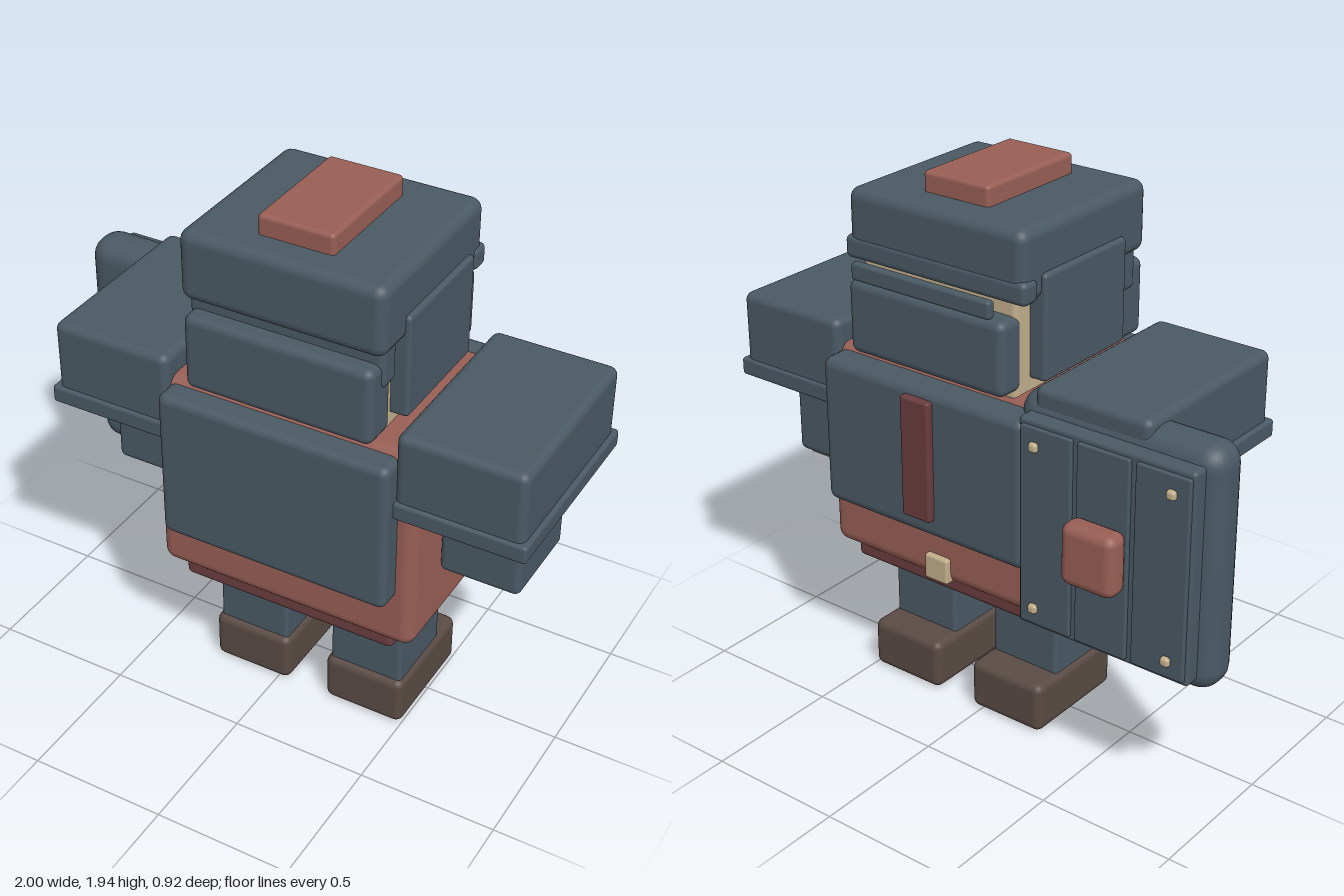
import * as THREE from 'three';
import { RoundedBoxGeometry } from 'three/addons/geometries/RoundedBoxGeometry.js';

const CX = 0.12; // the body's own middle line; the shield widens the -x side

function material(name, color) {
  const m = new THREE.MeshStandardMaterial({ color });
  m.name = name;
  return m;
}

export function createModel() {
  const slate = material('slate armour', 0x4a5964);
  const red = material('brick red', 0x985f55);
  const maroon = material('dark maroon', 0x6a3d3f);
  const brown = material('boot brown', 0x594a44);
  const cream = material('cream', 0xc2ae8c);

  const model = new THREE.Group();
  model.name = 'armouredFigure';

  const group = (name) => {
    const g = new THREE.Group();
    g.name = name;
    model.add(g);
    return g;
  };

  // Rounded block given by its extents on each axis
  const block = (parent, name, mat, [x0, x1], [y0, y1], [z0, z1], r = 0.02) => {
    const w = x1 - x0, h = y1 - y0, d = z1 - z0;
    const radius = Math.min(r, Math.min(w, h, d) * 0.49);
    const mesh = new THREE.Mesh(new RoundedBoxGeometry(w, h, d, 3, radius), mat);
    mesh.position.set((x0 + x1) / 2, (y0 + y1) / 2, (z0 + z1) / 2);
    mesh.name = name;
    parent.add(mesh);
    return mesh;
  };
  // Extents measured from the middle line, on the given side
  const side = (s, a, b) => (s > 0 ? [CX + a, CX + b] : [CX - b, CX - a]);
  const mid = (half) => [CX - half, CX + half];

  // Torso
  const torso = group('torso');
  block(torso, 'tunic', red, mid(0.488), [0.52, 1.3], [-0.28, 0.38], 0.045);
  block(torso, 'tunicHem', maroon, mid(0.405), [0.47, 0.54], [-0.25, 0.355], 0.02);
  block(torso, 'chestPlate', slate, mid(0.425), [0.72, 1.28], [0.34, 0.46], 0.03);
  block(torso, 'backPlate', slate, mid(0.43), [0.74, 1.28], [-0.372, -0.24], 0.035);
  block(torso, 'backStrip', maroon, mid(0.06), [0.81, 1.25], [-0.398, -0.36], 0.01);
  block(torso, 'backBuckle', cream, mid(0.05), [0.525, 0.62], [-0.302, -0.26], 0.01);

  // Head and helmet
  const head = group('head');
  block(head, 'face', cream, mid(0.32), [1.28, 1.75], [-0.262, 0.285], 0.02);
  block(head, 'helmetCap', slate, mid(0.365), [1.62, 1.87], [-0.285, 0.39], 0.04);
  block(head, 'helmetCrest', red, mid(0.135), [1.84, 1.94], [-0.165, 0.285], 0.015);
  block(head, 'visor', slate, mid(0.35), [1.49, 1.65], [0.265, 0.355], 0.025);
  block(head, 'faceGuard', slate, mid(0.34), [1.31, 1.585], [0.28, 0.415], 0.03);
  block(head, 'neckGuard', slate, mid(0.325), [1.315, 1.575], [-0.34, -0.23], 0.03);
  block(head, 'rearRim', slate, mid(0.375), [1.625, 1.705], [-0.29, -0.215], 0.02);
  block(head, 'rearBar', slate, mid(0.288), [1.585, 1.648], [-0.36, -0.326], 0.012);

  for (const s of [-1, 1]) {
    const which = s > 0 ? 'left' : 'right';
    block(head, which + 'CheekPlate', slate, side(s, 0.3, 0.383), [1.34, 1.71], [-0.19, 0.25], 0.015);

    // Arms
    const arm = group(which + 'Arm');
    block(arm, 'shoulderPad', slate, side(s, 0.418, 0.863), [1.08, 1.385], [-0.3, 0.402], 0.03);
    block(arm, 'shoulderRim', slate, side(s, 0.418, 0.88), [1.07, 1.135], [-0.31, 0.415], 0.012);
    block(arm, 'upperArm', slate, side(s, 0.43, 0.785), [0.935, 1.12], [-0.145, 0.25], 0.03);
    block(arm, 'forearm', slate, side(s, 0.49, 0.78), [0.74, 1.0], [-0.145, 0.2], 0.025);

    // Hand stub, tapering downwards
    const handShape = new THREE.CylinderGeometry(Math.SQRT1_2, Math.SQRT1_2 * 0.85, 1, 4)
      .toNonIndexed().rotateY(Math.PI / 4).scale(0.27, 0.05, 0.3);
    handShape.computeVertexNormals();
    const hand = new THREE.Mesh(handShape, cream);
    hand.name = 'hand';
    hand.position.set(CX + s * 0.635, 0.747, 0.02);
    arm.add(hand);

    // Legs
    const leg = group(which + 'Leg');
    block(leg, 'trouserLeg', slate, side(s, 0.09, 0.365), [0.15, 0.52], [-0.095, 0.2], 0.015);
    block(leg, 'boot', brown, side(s, 0.075, 0.38), [0, 0.187], [-0.21, 0.22], 0.03);
  }

  // Shield behind the right arm
  const shield = group('shield');
  block(shield, 'shieldSlab', slate, [-1, -0.23], [0.495, 1.355], [-0.31, -0.14], 0.075);
  block(shield, 'shieldBacking', slate, [-0.95, -0.285], [0.55, 1.3], [-0.36, -0.29], 0.015);
  for (let i = 0; i < 3; i++) {
    const x = -0.94 + i * 0.22;
    block(shield, 'shieldPanel', slate, [x, x + 0.198], [0.57, 1.28], [-0.374, -0.35], 0.006);
  }
  block(shield, 'shieldHandle', red, [-0.72, -0.515], [0.815, 1.035], [-0.457, -0.365], 0.035);
  for (const x of [-0.877, -0.358]) {
    for (const y of [0.63, 1.215]) {
      block(shield, 'rivet', cream, [x - 0.017, x + 0.017], [y - 0.017, y + 0.017], [-0.39, -0.36], 0.012);
    }
  }

  return model;
}
